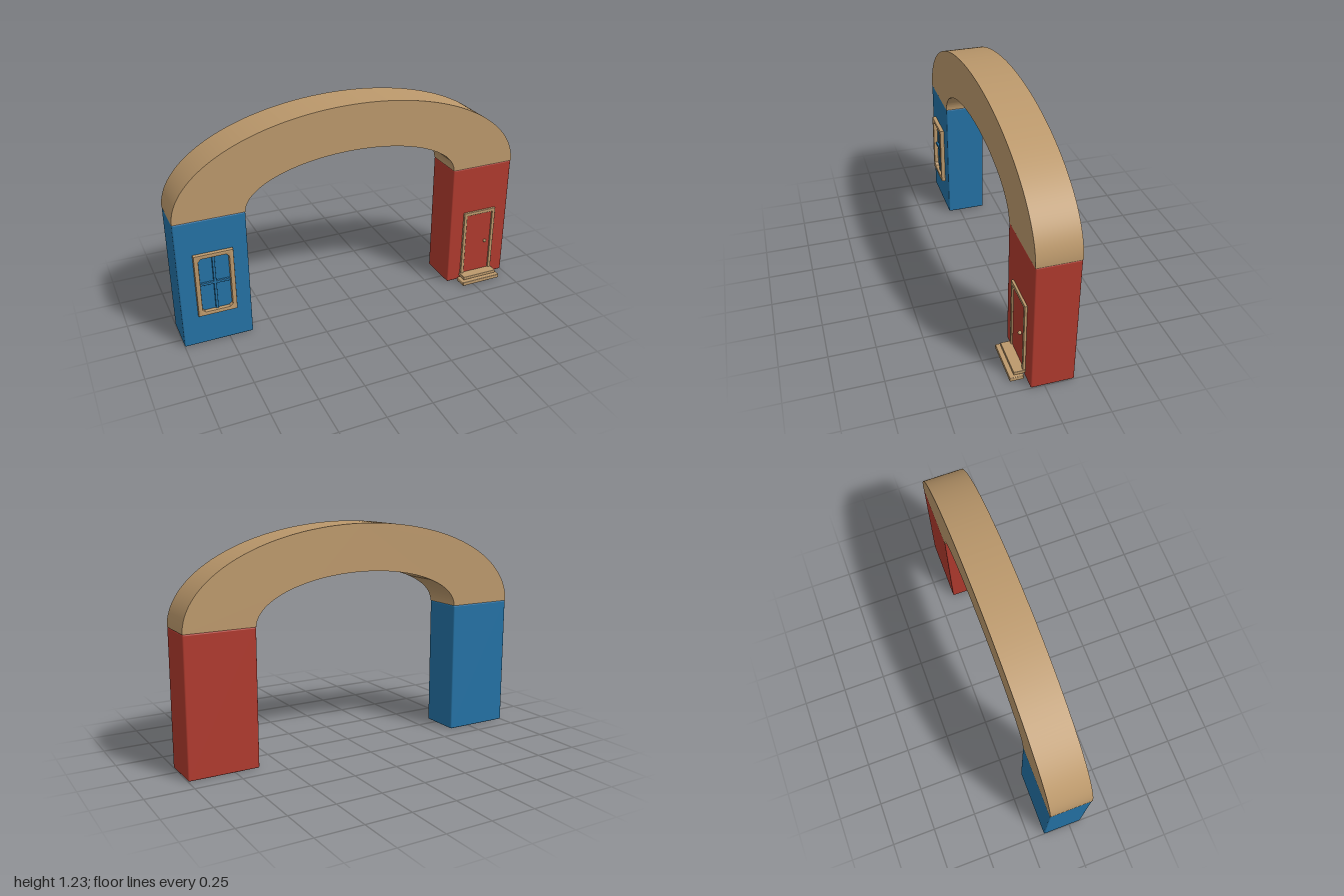
import * as THREE from 'three';
import { RoundedBoxGeometry } from 'three/addons/geometries/RoundedBoxGeometry.js';
import { toCreasedNormals } from 'three/addons/utils/BufferGeometryUtils.js';

const BACK = -0.157, FRONT = 0.072, PILLAR_TOP = 0.74;

export function createModel() {
  const group = new THREE.Group();
  const material = (name, color) => {
    const m = new THREE.MeshStandardMaterial({ color });
    m.name = name;
    return m;
  };
  const tan = material('tan wood', 0xbc996c);
  const blue = material('blue paint', 0x2472a5);
  const red = material('red paint', 0xb03a2e);

  const add = (name, geometry, mat, parent = group) => {
    const mesh = new THREE.Mesh(geometry, mat);
    mesh.name = name;
    parent.add(mesh);
    return mesh;
  };
  // Softly rounded block given by its two extremes on each axis
  const block = (name, [x0, x1], [y0, y1], [z0, z1], radius, mat, parent) => {
    const mesh = add(name, new RoundedBoxGeometry(x1 - x0, y1 - y0, z1 - z0, 2, radius), mat, parent);
    mesh.position.set((x0 + x1) / 2, (y0 + y1) / 2, (z0 + z1) / 2);
  };

  // Pillars
  block('bluePillar', [-1, -0.617], [0, PILLAR_TOP], [BACK, FRONT], 0.008, blue);
  block('redPillar', [0.617, 1], [0, PILLAR_TOP], [BACK, FRONT], 0.008, red);

  // Half-elliptical arch
  const arch = new THREE.Shape();
  arch.absellipse(0, PILLAR_TOP, 1, 0.492, 0, Math.PI, false);
  arch.lineTo(-0.617, PILLAR_TOP);
  arch.absellipse(0, PILLAR_TOP, 0.617, 0.237, Math.PI, 0, true);
  arch.closePath();
  const archGeometry = new THREE.ExtrudeGeometry(arch, {
    depth: FRONT - BACK, bevelEnabled: false, curveSegments: 64,
  });
  add('arch', toCreasedNormals(archGeometry, 0.6), tan).position.z = BACK;

  // Window: bevelled frame with chamfered opening, and a cross of glazing bars
  const windowGroup = new THREE.Group();
  windowGroup.name = 'window';
  windowGroup.position.set(-0.808, 0.37, FRONT);
  group.add(windowGroup);
  const bevel = 0.005;
  const w = 0.106 - bevel, h = 0.183 - bevel;
  const frame = new THREE.Shape([[-w, -h], [w, -h], [w, h], [-w, h]].map(p => new THREE.Vector2(...p)));
  const a = 0.082 + bevel, b = 0.16 + bevel, c = 0.018;
  frame.holes.push(new THREE.Path([
    [-a + c, -b], [-a, -b + c], [-a, b - c], [-a + c, b],
    [a - c, b], [a, b - c], [a, -b + c], [a - c, -b],
  ].map(p => new THREE.Vector2(...p))));
  const frameGeometry = new THREE.ExtrudeGeometry(frame, {
    depth: 0.016, bevelThickness: bevel, bevelSize: bevel, bevelSegments: 2,
  });
  add('windowFrame', toCreasedNormals(frameGeometry, 0.6), tan, windowGroup).position.z = bevel;
  block('verticalBar', [-0.007, 0.007], [-0.163, 0.163], [-0.002, 0.012], 0.002, blue, windowGroup);
  block('horizontalBar', [-0.085, 0.085], [-0.007, 0.007], [-0.002, 0.012], 0.002, blue, windowGroup);

  // Door: panel, trim, knob and two steps
  const door = new THREE.Group();
  door.name = 'door';
  group.add(door);
  block('doorPanel', [0.724, 0.894], [0.04, 0.43], [FRONT - 0.004, FRONT + 0.005], 0.002, red, door);
  for (const [name, x] of [['rightTrim', 0.703], ['leftTrim', 0.894]]) {
    block(name, [x, x + 0.02], [0.04, 0.453], [FRONT - 0.003, 0.085], 0.003, tan, door);
  }
  block('topTrim', [0.703, 0.914], [0.432, 0.453], [FRONT - 0.003, 0.085], 0.003, tan, door);
  block('upperStep', [0.697, 0.918], [0.026, 0.045], [FRONT, 0.134], 0.003, tan, door);
  block('lowerStep', [0.68, 0.931], [0, 0.024], [0.083, 0.157], 0.004, tan, door);
  add('knob', new THREE.SphereGeometry(0.01, 16, 12), tan, door).position.set(0.856, 0.241, 0.086);

  return group;
}
